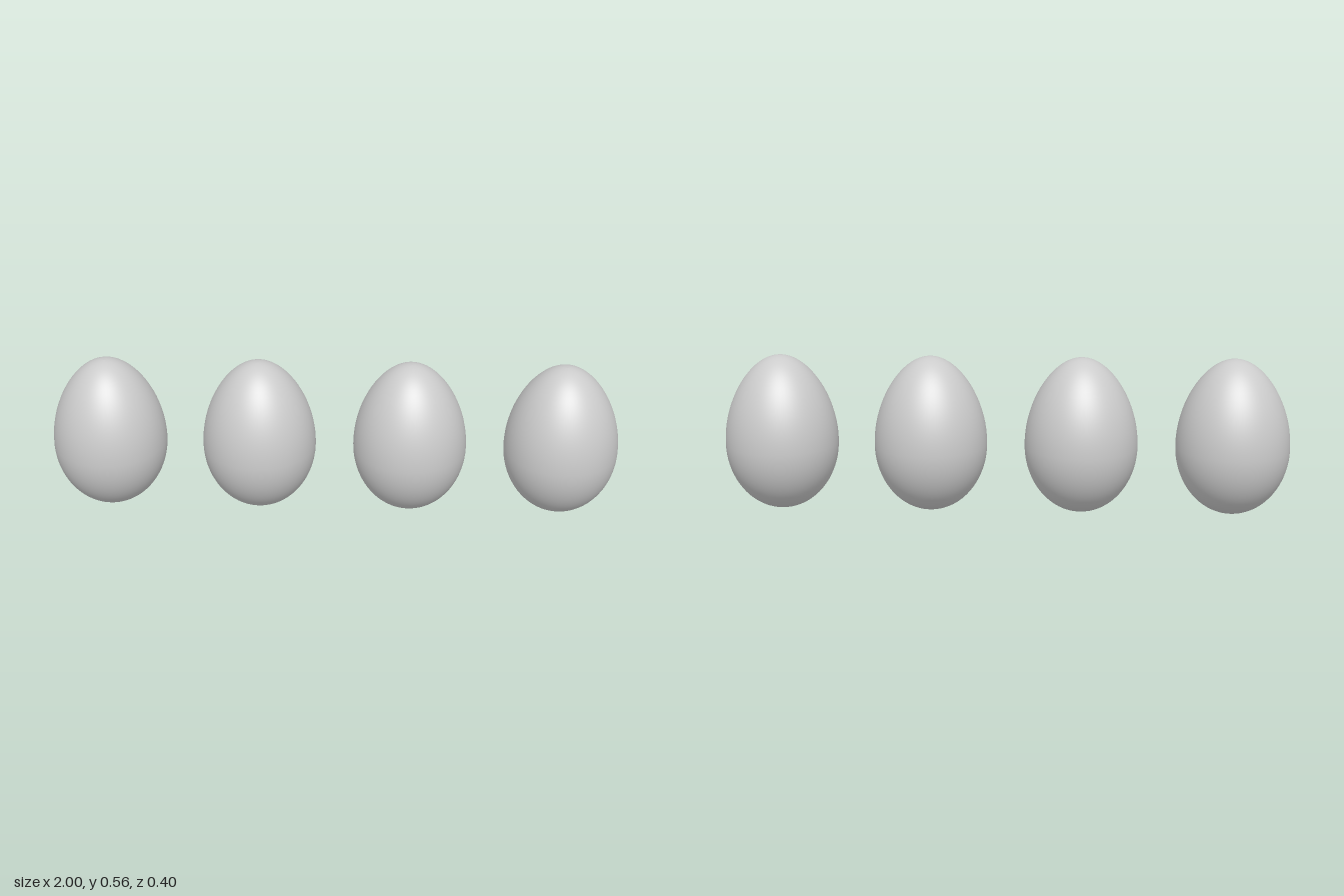
import * as THREE from 'three';

const RADIUS = 0.2, BELLY = 0.24, HEIGHT = 0.555;

// Egg profile: half ellipse below the belly, longer and slightly tapered above it
function eggProfile(steps = 40) {
  const points = [];
  for (let i = 0; i <= steps; i++) {
    const a = Math.PI * (1 - i / steps);
    const c = Math.cos(a);
    const up = Math.max(c, 0);
    const r = i === 0 || i === steps ? 0 : RADIUS * Math.sin(a) * (1 - 0.1 * up * up);
    points.push(new THREE.Vector2(r, BELLY + c * (c > 0 ? HEIGHT - BELLY : BELLY)));
  }
  return points;
}

export function createModel() {
  const group = new THREE.Group();
  group.name = 'eggRow';
  const material = new THREE.MeshStandardMaterial({ color: 0xcccccc });
  const geometry = new THREE.LatheGeometry(eggProfile(), 64);

  // Four equal eggs, evenly spaced in a row
  for (let i = 0; i < 4; i++) {
    const egg = new THREE.Mesh(geometry, material);
    egg.name = `egg${i + 1}`;
    egg.position.x = -0.8 + (i * 1.6) / 3;
    group.add(egg);
  }
  return group;
}
